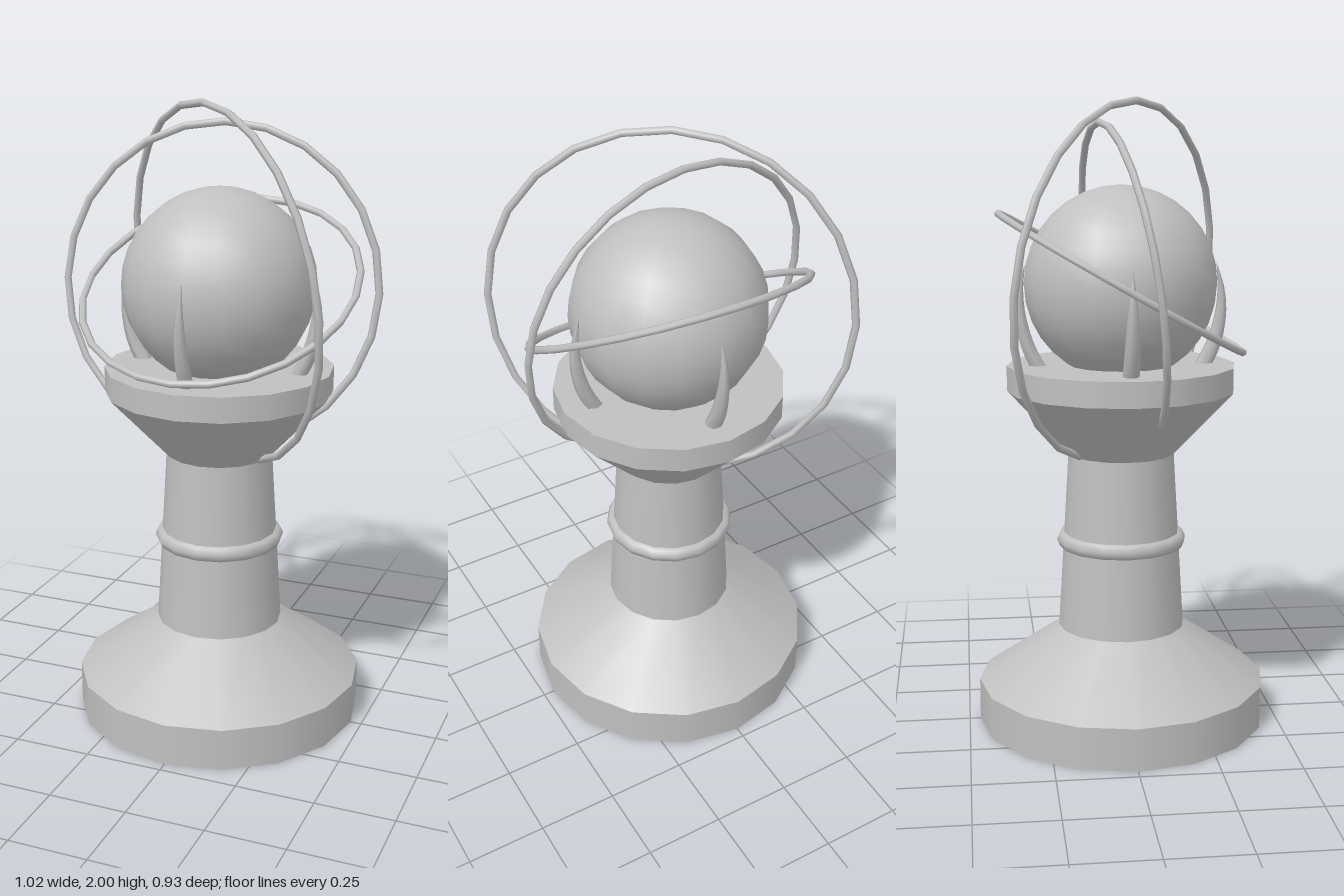
import * as THREE from 'three';

const SIDES = 16;
const CENTRE_Y = 1.427;

export function createModel() {
  const group = new THREE.Group();
  const stone = new THREE.MeshStandardMaterial({ color: 0xc0c0c0 });
  stone.name = 'plain grey';

  const add = (name, geometry, parent = group) => {
    const mesh = new THREE.Mesh(geometry, stone);
    mesh.name = name;
    parent.add(mesh);
    return mesh;
  };

  // Round pedestal section between two heights
  const section = (name, rBottom, rTop, y0, y1, open = true) => {
    const g = new THREE.CylinderGeometry(rTop, rBottom, y1 - y0, SIDES, 1, open);
    add(name, g.translate(0, (y0 + y1) / 2, 0));
  };

  section('plinth', 0.465, 0.465, 0, 0.135, false);
  section('plinthSlope', 0.465, 0.2, 0.135, 0.315);
  section('column', 0.204, 0.17, 0.315, 0.885);
  section('cupFlare', 0.17, 0.363, 0.885, 1.09);
  section('cupRim', 0.363, 0.363, 1.09, 1.17, false);

  // Band around the column
  const band = [[0.18, 0.577], [0.2, 0.581], [0.209, 0.602], [0.2, 0.623], [0.18, 0.627]];
  add('columnBand', new THREE.LatheGeometry(band.map(([r, y]) => new THREE.Vector2(r, y)), SIDES));

  add('globe', new THREE.SphereGeometry(0.306, SIDES, 16)).position.y = CENTRE_Y;

  // Tapered claws that hold the globe
  const path = new THREE.CatmullRomCurve3([
    [0.25, 1.14], [0.295, 1.23], [0.318, 1.33], [0.318, 1.41], [0.303, 1.485],
  ].map(([r, y]) => new THREE.Vector3(r, y, 0)));
  const steps = 10, radial = 6;
  const claw = new THREE.TubeGeometry(path, steps, 0.026, radial);
  const pos = claw.attributes.position;
  const v = new THREE.Vector3();
  for (let i = 0; i <= steps; i++) {
    const t = i / steps;
    const c = path.getPointAt(t);
    const scale = 1 - 0.95 * Math.pow(t, 2.2);
    for (let j = 0; j <= radial; j++) {
      const k = i * (radial + 1) + j;
      v.fromBufferAttribute(pos, k).sub(c).multiplyScalar(scale).add(c);
      pos.setXYZ(k, v.x, v.y, v.z);
    }
  }
  for (let i = 0; i < 4; i++) add('claw', claw).rotation.y = (i * Math.PI) / 2;

  // Orbit rings, each lying in the plane of a sideways and an upward direction
  const rings = [
    ['outerRing', 0.562, [0.78, 0, 0.63], [-0.063, 0.995, 0.078]],
    ['middleRing', 0.5, [0.993, 0, -0.118], [-0.0166, 0.99, -0.14]],
    ['innerRing', 0.44, [1, 0, 0], [0, 0.495, -0.869]],
  ];
  for (const [name, radius, a, b] of rings) {
    const u = new THREE.Vector3(...a).normalize();
    const n = new THREE.Vector3().crossVectors(u, new THREE.Vector3(...b)).normalize();
    const w = new THREE.Vector3().crossVectors(n, u);
    const ring = add(name, new THREE.TorusGeometry(radius, 0.012, 6, 24));
    ring.quaternion.setFromRotationMatrix(new THREE.Matrix4().makeBasis(u, w, n));
    ring.position.y = CENTRE_Y;
  }

  return group;
}
